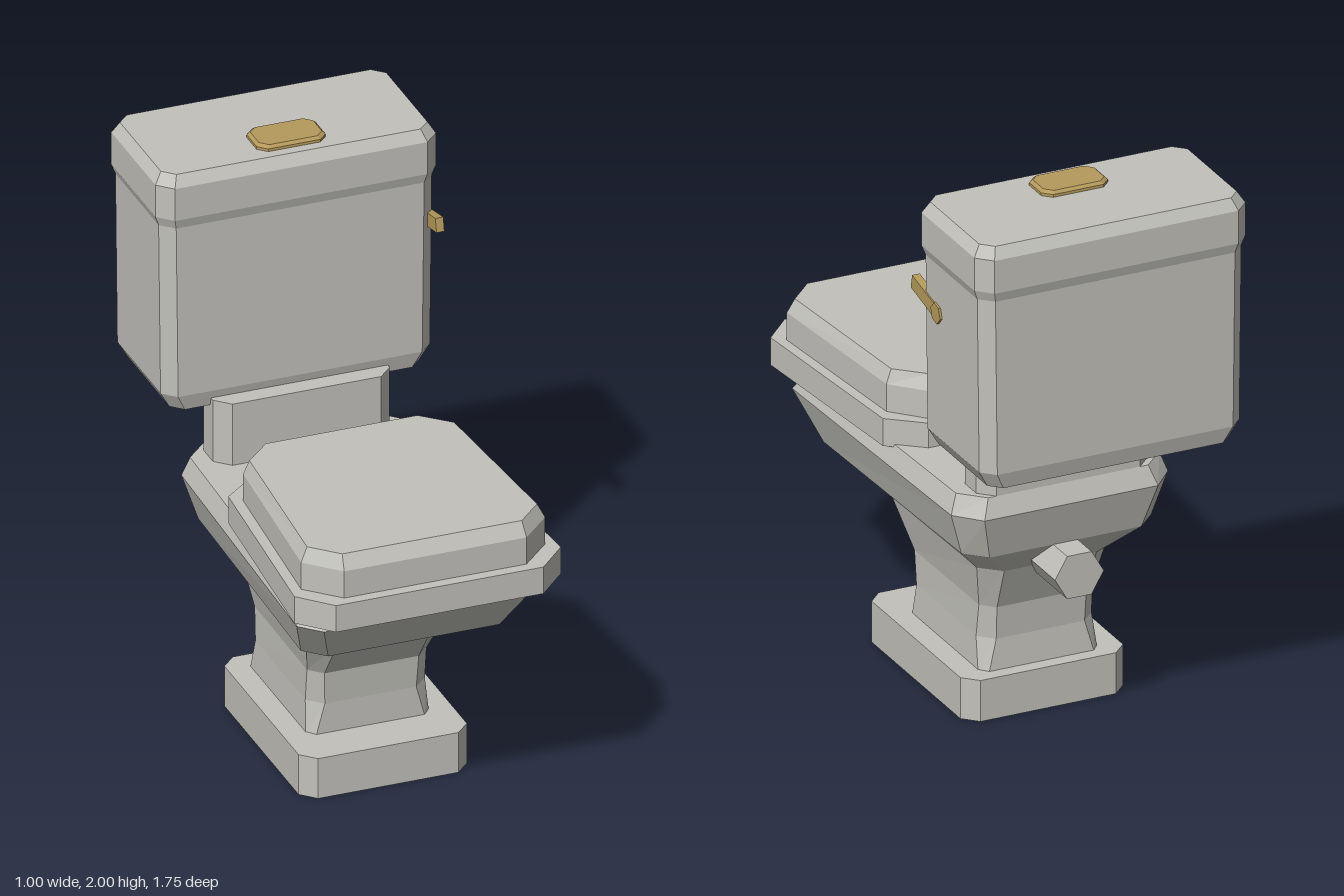
import * as THREE from 'three';

const porcelain = new THREE.MeshStandardMaterial({ color: 0xc2c1bb });
porcelain.name = 'porcelain';
const brass = new THREE.MeshStandardMaterial({ color: 0xb59a5b });
brass.name = 'brass';

// Octagonal ring: front/back half widths, front/back z, corner cuts [x, z] at front and back
function ring(y, xf, xb, zf, zb, [fx, fz], [bx, bz] = [fx, fz]) {
  const half = [[xf - fx, zf], [xf, zf - fz], [xb, zb + bz], [xb - bx, zb]];
  const mirrored = half.slice().reverse().map(([x, z]) => [-x, z]);
  return [...half, ...mirrored].map(([x, z]) => new THREE.Vector3(x, y, z));
}

// Faceted solid through rings ordered from bottom to top
function loft(name, rings, material = porcelain) {
  const points = [];
  const n = rings[0].length;
  const tri = (a, b, c) => points.push(a, b, c);
  for (let r = 0; r < rings.length - 1; r++) {
    for (let i = 0; i < n; i++) {
      const j = (i + 1) % n, lo = rings[r], hi = rings[r + 1];
      tri(lo[i], lo[j], hi[j]);
      tri(lo[i], hi[j], hi[i]);
    }
  }
  const bottom = rings[0], top = rings[rings.length - 1];
  for (let i = 1; i < n - 1; i++) {
    tri(bottom[0], bottom[i + 1], bottom[i]);
    tri(top[0], top[i], top[i + 1]);
  }
  const geometry = new THREE.BufferGeometry().setFromPoints(points);
  geometry.computeVertexNormals();
  return named(name, geometry, material);
}

function named(name, geometry, material) {
  const mesh = new THREE.Mesh(geometry, material);
  mesh.name = name;
  return mesh;
}

// Ring with straight sides
const block = (y, x, zf, zb, cx, cz = cx) => ring(y, x, x, zf, zb, [cx, cz]);

export function createModel() {
  const model = new THREE.Group();
  model.name = 'toilet';

  // Foot and flared bowl
  model.add(loft('foot', [block(0, 0.3, 0.41, -0.36, 0.05), block(0.15, 0.3, 0.41, -0.36, 0.05)]));
  model.add(loft('bowl', [
    ring(0.14, 0.22, 0.22, 0.25, -0.31, [0.025, 0.03]),
    ring(0.26, 0.213, 0.213, 0.25, -0.3, [0.05, 0.05]),
    ring(0.38, 0.213, 0.21, 0.26, -0.31, [0.045, 0.045]),
    ring(0.54, 0.25, 0.24, 0.375, -0.375, [0.08, 0.07], [0.07, 0.065]),
    ring(0.66, 0.375, 0.35, 0.64, -0.49, [0.07, 0.07]),
    ring(0.82, 0.435, 0.4, 0.755, -0.535, [0.07, 0.07], [0.08, 0.09]),
    ring(0.89, 0.41, 0.375, 0.69, -0.51, [0.06, 0.06], [0.08, 0.08]),
  ]));

  // Seat and closed lid
  const seatRing = (y) => ring(y, 0.475, 0.42, 0.875, -0.07, [0.105, 0.11], [0.12, 0.1]);
  model.add(loft('seat', [seatRing(0.88), seatRing(0.98)]));
  const lidRing = (y) => ring(y, 0.435, 0.385, 0.835, -0.035, [0.11, 0.11], [0.1, 0.11]);
  model.add(loft('seatLid', [
    lidRing(0.98),
    lidRing(1.08),
    ring(1.13, 0.41, 0.365, 0.805, -0.01, [0.09, 0.09], [0.095, 0.09]),
  ]));

  // Neck joining bowl and tank
  model.add(loft('neck', [block(0.88, 0.315, -0.325, -0.51, 0.05), block(1.12, 0.315, -0.325, -0.51, 0.05)]));

  // Hexagonal drain pipe
  const pipeShape = new THREE.CylinderGeometry(0.09, 0.09, 0.35, 6).toNonIndexed();
  pipeShape.rotateY(Math.PI / 2).rotateX(Math.PI / 2);
  pipeShape.computeVertexNormals();
  const pipe = named('drainPipe', pipeShape, porcelain);
  pipe.position.set(0, 0.582, -0.42);
  model.add(pipe);

  // Tank and its cover
  model.add(loft('tank', [
    block(1.09, 0.445, -0.4, -0.85, 0.04),
    block(1.15, 0.48, -0.385, -0.865, 0.045),
    block(1.8, 0.487, -0.385, -0.865, 0.045),
  ]));
  model.add(loft('tankCover', [
    block(1.785, 0.487, -0.385, -0.865, 0.045),
    block(1.82, 0.5, -0.375, -0.875, 0.05),
    block(1.94, 0.5, -0.375, -0.875, 0.05),
    block(1.98, 0.475, -0.4, -0.85, 0.04),
  ]));

  // Flush button
  model.add(loft('flushButton', [
    block(1.975, 0.123, -0.437, -0.588, 0.03),
    block(1.99, 0.123, -0.437, -0.588, 0.03),
    block(2.0, 0.112, -0.447, -0.578, 0.026),
  ], brass));

  // Side flush lever: pivot disc and tilted arm
  const lever = new THREE.Group();
  lever.name = 'flushLever';
  lever.position.set(0.475, 1.607, -0.515);
  lever.rotation.x = -0.21;
  const arm = named('leverArm', new THREE.BoxGeometry(0.028, 0.05, 0.19), brass);
  arm.position.set(0.001, 0, 0.095);
  const discShape = new THREE.CylinderGeometry(0.037, 0.037, 0.036, 6).toNonIndexed();
  discShape.rotateZ(Math.PI / 2);
  discShape.computeVertexNormals();
  lever.add(arm, named('leverPivot', discShape, brass));
  model.add(lever);

  return model;
}
